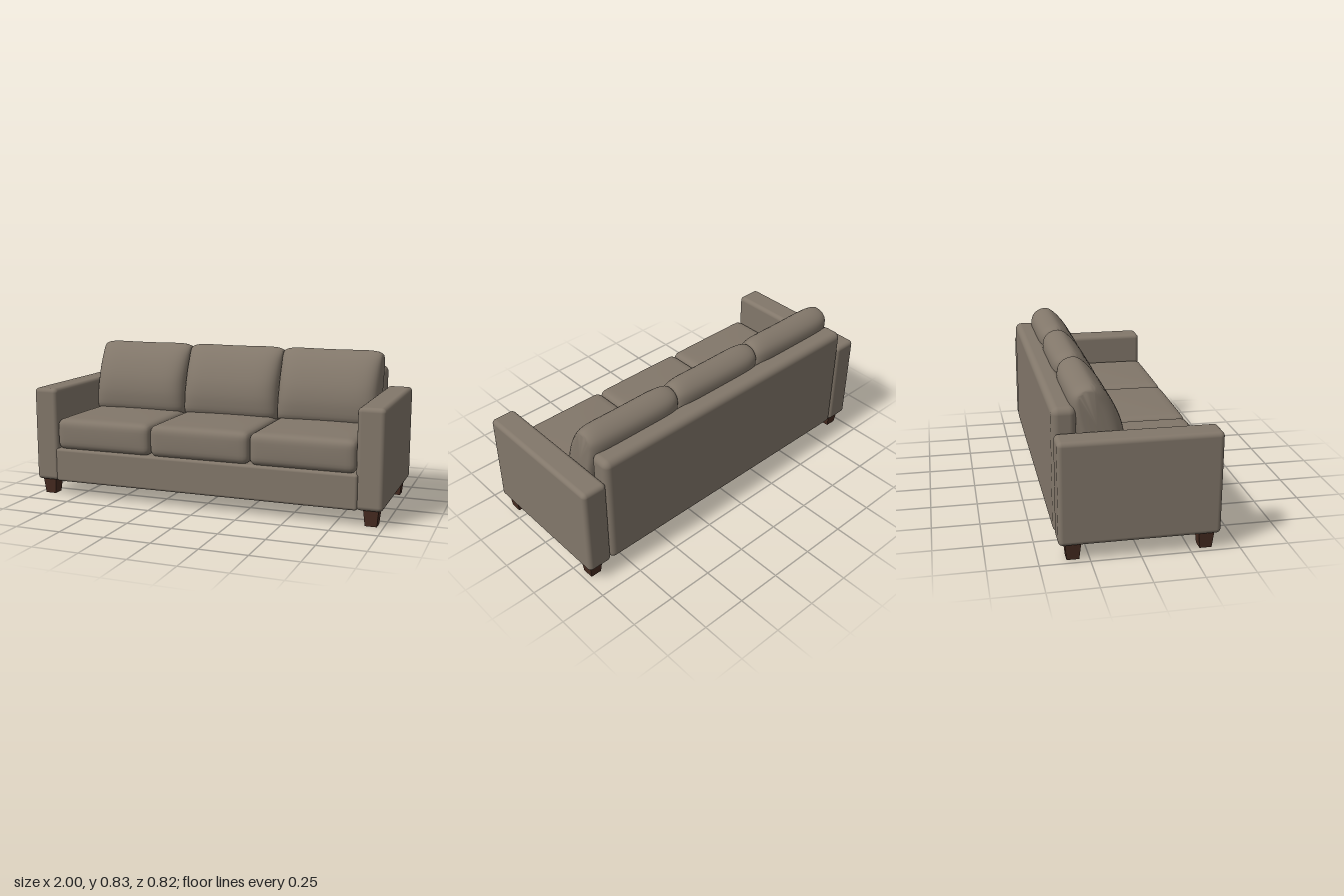
import * as THREE from 'three';
import { mergeVertices, toCreasedNormals } from 'three/addons/utils/BufferGeometryUtils.js';
import { RoundedBoxGeometry } from 'three/addons/geometries/RoundedBoxGeometry.js';

const fabric = new THREE.MeshStandardMaterial({ color: 0x82776a });
fabric.name = 'taupe fabric';
const wood = new THREE.MeshStandardMaterial({ color: 0x472c21 });
wood.name = 'dark wood';

function add(group, name, geometry, material, x = 0, y = 0, z = 0) {
  const mesh = new THREE.Mesh(geometry, material);
  mesh.name = name;
  mesh.position.set(x, y, z);
  group.add(mesh);
  return mesh;
}

// Rounded block given by its limits on each axis
function block(group, name, [x0, x1], [y0, y1], [z0, z1], r) {
  const geo = new RoundedBoxGeometry(x1 - x0, y1 - y0, z1 - z0, 5, r);
  return add(group, name, geo, fabric, (x0 + x1) / 2, (y0 + y1) / 2, (z0 + z1) / 2);
}

// Seat cushion: a finely divided box with rounded edges and swollen faces
function seatCushionGeometry(w, h, d, r) {
  let geo = new THREE.BoxGeometry(2, 2, 2, 20, 14, 20);
  geo.deleteAttribute('uv');
  geo.deleteAttribute('normal');
  geo = mergeVertices(geo);
  const half = new THREE.Vector3(w / 2, h / 2, d / 2);
  const inner = half.clone().subScalar(r);
  const pos = geo.attributes.position;
  const p = new THREE.Vector3();
  const core = new THREE.Vector3();
  for (let i = 0; i < pos.count; i++) {
    p.fromBufferAttribute(pos, i);
    // crowd the grid towards the edges
    for (const k of ['x', 'y', 'z']) p[k] = Math.sin(p[k] * Math.PI / 2) * half[k];
    core.copy(p).clamp(inner.clone().negate(), inner);
    p.sub(core).normalize().multiplyScalar(r).add(core);
    const u = p.x / half.x, v = p.y / half.y, s = p.z / half.z;
    p.y += 0.007 * Math.max(v, 0) * (1 - u * u) * (1 - s * s);
    p.z += 0.006 * s * (1 - u ** 4) * (1 - v * v);
    pos.setXYZ(i, p.x, p.y, p.z);
  }
  geo.computeVertexNormals();
  return geo;
}

// Side profiles of a back cushion as [z, y], through its middle and at its ends
const MIDDLE = [[-0.06, 0.44], [-0.04, 0.52], [-0.05, 0.61], [-0.08, 0.69], [-0.125, 0.765], [-0.17, 0.815],
  [-0.21, 0.838], [-0.265, 0.828], [-0.305, 0.795], [-0.318, 0.74], [-0.29, 0.62], [-0.22, 0.44]];
const END = [[-0.11, 0.44], [-0.11, 0.52], [-0.135, 0.61], [-0.155, 0.68], [-0.18, 0.745], [-0.195, 0.785],
  [-0.21, 0.805], [-0.255, 0.8], [-0.275, 0.775], [-0.272, 0.73], [-0.245, 0.61], [-0.19, 0.44]];

function profile(points, n) {
  const curve = new THREE.CatmullRomCurve3(points.map(([z, y]) => new THREE.Vector3(0, y, z)), true);
  return Array.from({ length: n }, (_, j) => curve.getPoint(j / n));
}

// Back cushion: profiles swelling from the ends to the middle, with flat ends
function backCushionGeometry(width) {
  const stations = 28, n = 48;
  const mid = profile(MIDDLE, n), end = profile(END, n);
  const positions = [], index = [];
  for (let i = 0; i <= stations; i++) {
    const u = Math.sin((i / stations - 0.5) * Math.PI);
    const swell = Math.sqrt(Math.max(0, 1 - Math.abs(u) ** 7));
    for (let j = 0; j < n; j++) {
      const p = end[j].clone().lerp(mid[j], swell);
      const dip = 0.006 * (1 - u * u) * THREE.MathUtils.smoothstep(p.y, 0.72, 0.84);
      positions.push(u * width / 2, p.y - dip, p.z);
      if (i < stations) {
        const a = i * n + j, b = a + n, k = (j + 1) % n;
        const c = (i + 1) * n + k, d = i * n + k;
        index.push(a, b, c, a, c, d);
      }
    }
  }
  const centre = (stations + 1) * n, last = stations * n;
  positions.push(-width / 2, 0.63, -0.19, width / 2, 0.63, -0.19);
  for (let j = 0; j < n; j++) {
    const k = (j + 1) % n;
    index.push(centre, j, k, centre + 1, last + k, last + j);
  }
  const geo = new THREE.BufferGeometry();
  geo.setAttribute('position', new THREE.Float32BufferAttribute(positions, 3));
  geo.setIndex(index);
  return toCreasedNormals(geo, 0.8);
}

export function createModel() {
  const sofa = new THREE.Group();
  sofa.name = 'sofa';

  // Upholstered frame
  block(sofa, 'base', [-0.87, 0.87], [0.086, 0.275], [-0.38, 0.407], 0.015);
  block(sofa, 'backrest', [-0.862, 0.862], [0.086, 0.736], [-0.411, -0.288], 0.036);
  block(sofa, 'leftArm', [0.858, 1], [0.086, 0.616], [-0.405, 0.4], 0.024);
  block(sofa, 'rightArm', [-1, -0.858], [0.086, 0.616], [-0.405, 0.4], 0.024);

  // Three seat cushions and three back cushions
  const seat = seatCushionGeometry(0.574, 0.175, 0.7, 0.04);
  const back = backCushionGeometry(0.572);
  for (const [i, side] of [[-1, 'right'], [0, 'middle'], [1, 'left']]) {
    add(sofa, side + 'SeatCushion', seat, fabric, i * 0.573, 0.359, 0.056);
    add(sofa, side + 'BackCushion', back, fabric, i * 0.574, 0, 0);
  }

  // Tapered square legs
  const leg = new THREE.CylinderGeometry(0.04 * Math.SQRT2, 0.031 * Math.SQRT2, 0.09, 4, 1);
  leg.rotateY(Math.PI / 4);
  const legGeometry = toCreasedNormals(leg, 0.3);
  for (const x of [-1, 1]) {
    for (const z of [-1, 1]) {
      const name = (z > 0 ? 'front' : 'back') + (x > 0 ? 'Left' : 'Right') + 'Leg';
      add(sofa, name, legGeometry, wood, x * 0.935, 0.045, z * 0.332);
    }
  }
  return sofa;
}
